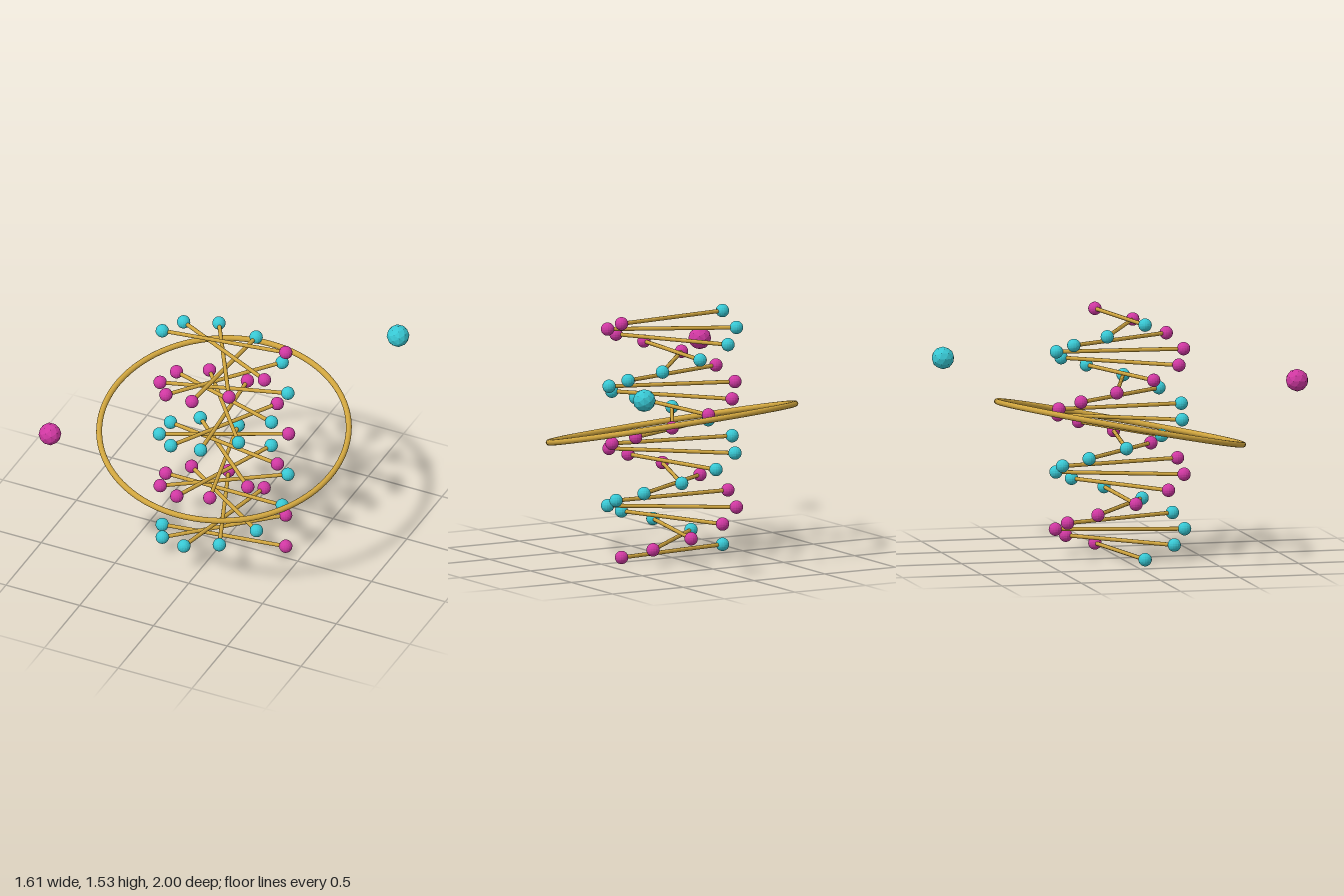
import * as THREE from 'three';

const RUNGS = 22, RADIUS = 0.395, BASE_Y = 0.047, STEP = 0.069;

// Split the faces so every facet keeps its own flat normal
function faceted(geometry) {
  const g = geometry.index ? geometry.toNonIndexed() : geometry;
  g.computeVertexNormals();
  return g;
}

function material(name, color) {
  const m = new THREE.MeshStandardMaterial({ color });
  m.name = name;
  return m;
}

export function createModel() {
  const model = new THREE.Group();
  model.name = 'doubleHelix';

  const gold = material('gold', 0xd0a53e);
  const cyan = material('cyan', 0x38c8d4);
  const magenta = material('magenta', 0xd038a2);

  const add = (parent, name, geometry, mat, x = 0, y = 0, z = 0) => {
    const mesh = new THREE.Mesh(geometry, mat);
    mesh.name = name;
    mesh.position.set(x, y, z);
    parent.add(mesh);
    return mesh;
  };

  // Rungs: a rod with a bead on each end, turning two full times up the helix
  const beadGeo = faceted(new THREE.SphereGeometry(0.041, 16, 12));
  const rodGeo = new THREE.CylinderGeometry(0.0125, 0.0125, RADIUS * 2, 10);
  rodGeo.rotateZ(Math.PI / 2);
  for (let i = 0; i < RUNGS; i++) {
    const rung = new THREE.Group();
    rung.name = `rung${i + 1}`;
    rung.position.y = BASE_Y + i * STEP;
    rung.rotation.y = Math.PI / 21 + (i * 4 * Math.PI) / (RUNGS - 1);
    add(rung, 'rod', rodGeo, gold);
    add(rung, 'magentaBead', beadGeo, magenta, RADIUS);
    add(rung, 'cyanBead', beadGeo, cyan, -RADIUS);
    model.add(rung);
  }

  // Tilted orbit ring around the helix
  const ringGeo = new THREE.TorusGeometry(0.764, 0.018, 12, 96);
  ringGeo.rotateX(-Math.PI / 2);
  const ring = add(model, 'orbitRing', ringGeo, gold, 0, 0.84, 0);
  ring.quaternion.setFromUnitVectors(
    new THREE.Vector3(0, 1, 0),
    new THREE.Vector3(0.068, 1, 0.2).normalize()
  );

  // Two faceted satellites on opposite corners
  const satelliteGeo = faceted(new THREE.IcosahedronGeometry(0.07, 1));
  add(model, 'magentaSatellite', satelliteGeo, magenta, -0.735, 1.173, 0.93);
  add(model, 'cyanSatellite', satelliteGeo, cyan, 0.735, 1.173, -0.93);

  return model;
}
